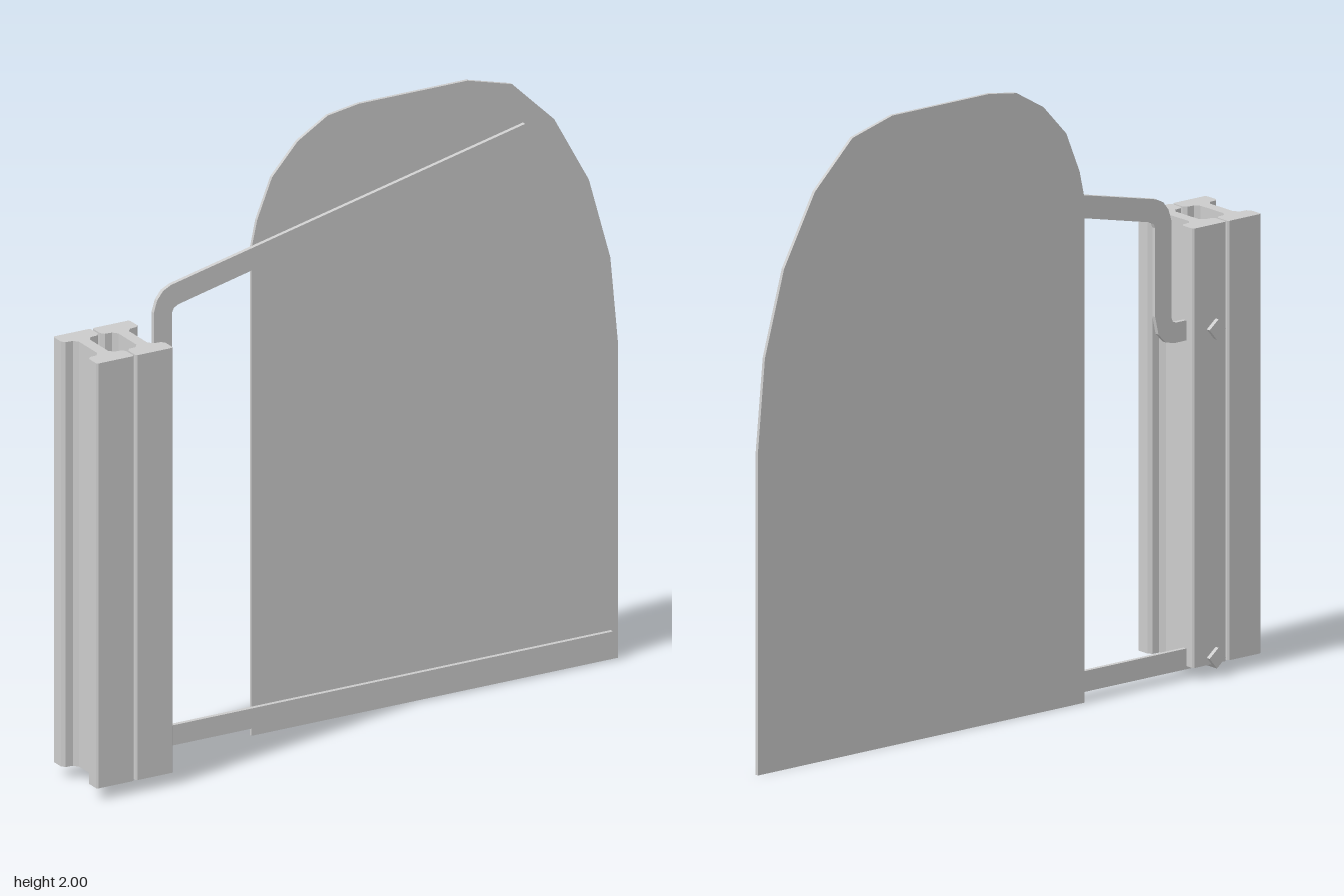
import * as THREE from 'three';

const material = new THREE.MeshStandardMaterial({ color: 0xcccccc, flatShading: true });

// Closed outline pushed straight from depth 0 to the given depth
function extrude(points, depth) {
  const shape = new THREE.Shape(points.map(([x, y]) => new THREE.Vector2(x, y)));
  return new THREE.ExtrudeGeometry(shape, { depth, bevelEnabled: false });
}

export function createModel() {
  const group = new THREE.Group();
  const add = (name, geometry, x = 0, y = 0, z = 0) => {
    const mesh = new THREE.Mesh(geometry, material);
    mesh.name = name;
    mesh.position.set(x, y, z);
    group.add(mesh);
    return mesh;
  };

  // Two upright I-section posts: one quarter of the section, mirrored around
  const quarter = [[0.019, 0.055], [0.032, 0.071], [0.056, 0.073], [0.066, 0.085], [0.066, 0.128], [0.061, 0.133]];
  const half = [...quarter.map(([x, z]) => [x, -z]).reverse(), ...quarter];
  const section = [...half, ...half.map(([x, z]) => [-x, z]).reverse()];
  const post = extrude(section, 1.395).rotateX(-Math.PI / 2);
  add('outerPost', post, -0.929, 0.04, 0.007);
  add('innerPost', post, -0.79, 0.04, 0.007);

  // Thin panel with an uneven arched top
  add('panel', extrude([
    [-0.31, 0], [0.99, 0], [0.99, 1.025], [0.962, 1.32], [0.886, 1.59], [0.763, 1.813], [0.614, 1.957],
    [0.455, 2], [0.07, 2], [-0.04, 1.983], [-0.146, 1.92], [-0.237, 1.82], [-0.29, 1.69], [-0.31, 1.6],
  ], 0.011), 0, 0, -0.104);

  // Flat cranked strap holding the upper part of the panel
  add('upperArm', extrude([
    [-0.78, 1.074], [-0.673, 1.074], [-0.64, 1.083], [-0.613, 1.112], [-0.6, 1.17], [-0.6, 1.452],
    [-0.594, 1.466], [-0.577, 1.475], [0.667, 1.758], [0.652, 1.824], [-0.604, 1.543], [-0.632, 1.529],
    [-0.653, 1.502], [-0.665, 1.463], [-0.665, 1.155], [-0.67, 1.143], [-0.683, 1.138], [-0.78, 1.138],
  ], 0.014), 0, 0, -0.093);

  // Straight strap along the bottom of the panel
  add('lowerArm', new THREE.BoxGeometry(1.74, 0.066, 0.014), 0.093, 0.063, -0.086);

  // Square bolt heads on the back of the inner post, turned on their corners
  for (const [name, y] of [['upperBolt', 1.103], ['lowerBolt', 0.06]]) {
    add(name, new THREE.BoxGeometry(0.046, 0.046, 0.06), -0.81, y, -0.11).rotation.z = Math.PI / 4 + 0.1;
  }
  return group;
}
